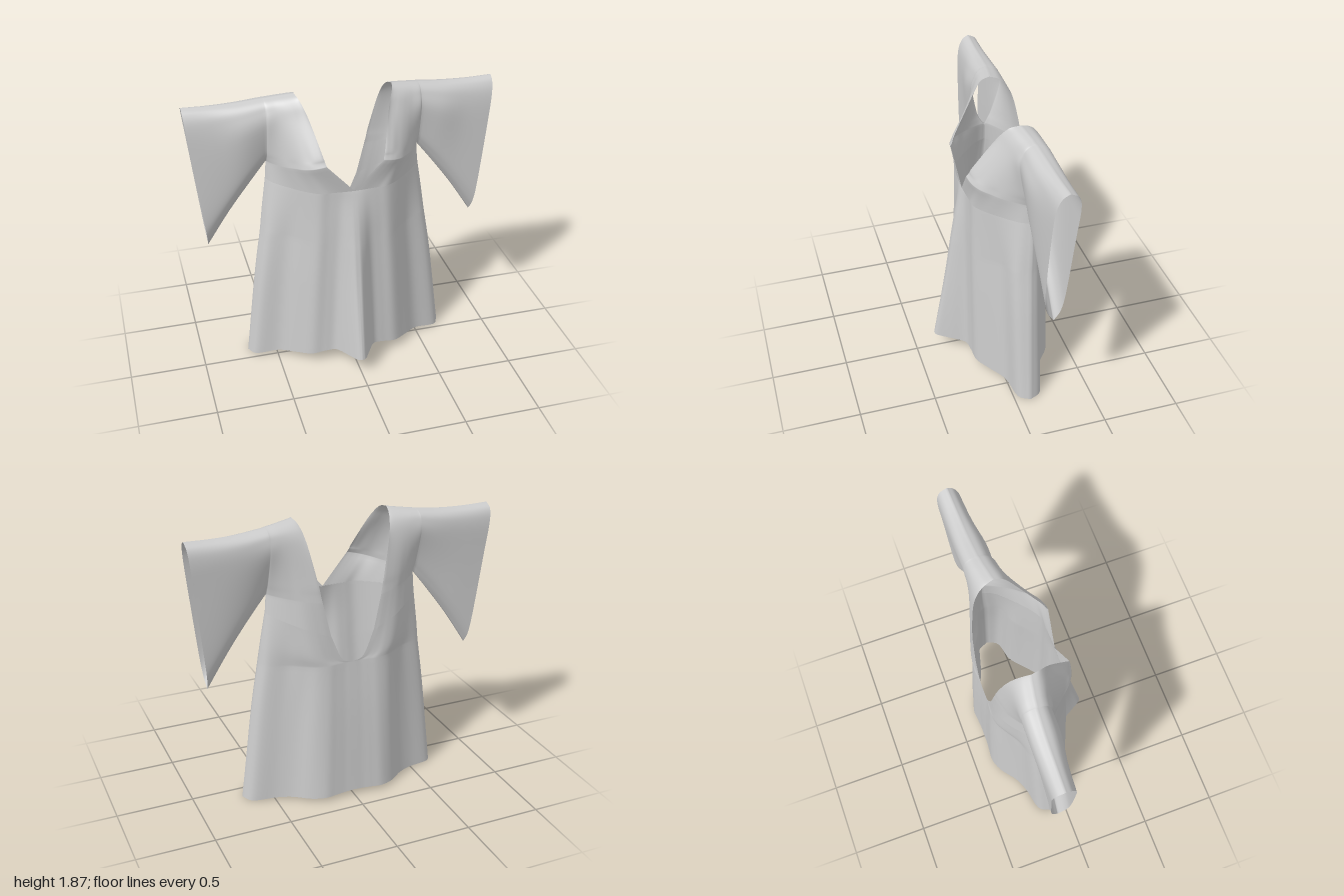
import * as THREE from 'three';
import { mergeVertices } from 'three/addons/utils/BufferGeometryUtils.js';

const V = (x, y, z) => new THREE.Vector3(x, y, z);
const lerp = THREE.MathUtils.lerp;
const spline = (pts, t) => new THREE.CatmullRomCurve3(pts, false, 'catmullrom', 0.5).getPoint(t);

// Where the cloth columns sit between the centre (0) and the side (1)
const COLS = [0, 0.04, 0.1, 0.19, 0.3, 0.43, 0.57, 0.72, 0.93, 1];

// Outer edge of the body: side seam from hem to armpit, then armhole to shoulder
const ARMPIT = 5;
const OUTER = [[0.69, 0], [0.615, 0.6], [0.56, 0.95], [0.54, 1.1], [0.51, 1.3], [0.5, 1.42],
  [0.5, 1.455], [0.5, 1.52], [0.5, 1.7], [0.5, 1.79], [0.5, 1.83], [0.5, 1.845]];

// Each row: inner x, inner y, then depths from the inner edge to the outer edge
const FRONT = [
  [0, 0.12, [0.375, 0.36, 0.29, 0.19, 0.168, 0.155, 0.085, 0.01, -0.025, -0.1]],
  [0, 0.6, [0.285, 0.28, 0.24, 0.18, 0.165, 0.155, 0.09, 0.015, -0.025, -0.11]],
  [0, 0.9, [0.24, 0.237, 0.215, 0.175, 0.162, 0.153, 0.095, 0.02, -0.03, -0.12]],
  [0, 1.1, [0.205, 0.203, 0.192, 0.17, 0.16, 0.15, 0.1, 0.03, -0.045, -0.13]],
  [0, 1.29, [0.16, 0.16, 0.16, 0.158, 0.155, 0.15, 0.11, 0.045, -0.065, -0.14]],
  [0.18, 1.49, [0.18, 0.18, 0.177, 0.17, 0.155, 0.125, 0.075, 0.02, -0.085, -0.14]],
  [0.188, 1.515, [0.165, 0.165, 0.162, 0.155, 0.14, 0.11, 0.065, 0.015, -0.075, -0.112]],
  [0.2, 1.56, [0.145, 0.145, 0.14, 0.13, 0.11, 0.085, 0.05, 0.005, -0.06, -0.085]],
  [0.25, 1.74, [0.035, 0.005, -0.055]],
  [0.28, 1.82, [-0.02, -0.04, -0.075]],
  [0.3, 1.858, [-0.06, -0.08, -0.105]],
  [0.312, 1.87, [-0.115, -0.13, -0.15]],
];
const BACK = [
  [0, 0.035, [-0.365, -0.365, -0.365, -0.37, -0.372, -0.335, -0.26, -0.215, -0.18, -0.1]],
  [0, 0.58, [-0.348, -0.348, -0.348, -0.352, -0.355, -0.33, -0.265, -0.22, -0.18, -0.11]],
  [0, 0.955, [-0.325, -0.325, -0.325, -0.33, -0.335, -0.32, -0.275, -0.225, -0.185, -0.12]],
  [0.075, 0.99, [-0.325, -0.325, -0.325, -0.327, -0.328, -0.315, -0.28, -0.235, -0.185, -0.13]],
  [0.145, 1.15, [-0.32, -0.32, -0.32, -0.317, -0.312, -0.3, -0.275, -0.24, -0.18, -0.14]],
  [0.195, 1.37, [-0.31, -0.31, -0.308, -0.303, -0.295, -0.28, -0.255, -0.225, -0.17, -0.14]],
  [0.205, 1.42, [-0.305, -0.305, -0.303, -0.298, -0.29, -0.277, -0.255, -0.228, -0.18, -0.155]],
  [0.22, 1.5, [-0.298, -0.298, -0.295, -0.29, -0.283, -0.272, -0.255, -0.235, -0.2, -0.185]],
  [0.263, 1.7, [-0.265, -0.255, -0.24]],
  [0.285, 1.8, [-0.225, -0.23, -0.235]],
  [0.3, 1.85, [-0.175, -0.19, -0.205]],
  [0.312, 1.87, [-0.115, -0.13, -0.15]],
];

// Sleeve stations from armhole to cuff: underside, top, then front and back depths
const SLEEVE = [
  [[0.5, 1.42], [0.5, 1.845],
    [-0.14, -0.112, -0.085, -0.055, -0.075, -0.105, -0.15], [-0.14, -0.155, -0.185, -0.24, -0.235, -0.205, -0.15]],
  [[0.61, 1.28], [0.66, 1.83],
    [-0.14, -0.105, -0.075, -0.05, -0.075, -0.11, -0.16], [-0.14, -0.17, -0.2, -0.24, -0.242, -0.215, -0.16]],
  [[0.75, 1.09], [0.83, 1.825],
    [-0.145, -0.1, -0.078, -0.072, -0.088, -0.12, -0.165], [-0.145, -0.185, -0.21, -0.237, -0.243, -0.22, -0.165]],
  [[0.9, 0.86], [1, 1.83],
    [-0.15, -0.102, -0.082, -0.085, -0.095, -0.125, -0.17], [-0.15, -0.19, -0.21, -0.232, -0.243, -0.225, -0.17]],
];

// Linear lookup in a short list, f from 0 to 1
function sample(list, f) {
  const k = f * (list.length - 1);
  const i = Math.min(Math.floor(k), list.length - 2);
  return lerp(list[i], list[i + 1], k - i);
}

// Control points of one half of the body cloth
function bodyRows(rows) {
  return rows.map(([ix, iy, depths], r) => COLS.map((q, i) =>
    V(lerp(ix, OUTER[r][0], q), lerp(iy, OUTER[r][1], q), sample(depths, i / (COLS.length - 1)))));
}

// Control points of one side of a sleeve, on the same rows as the armhole
function sleeveRows(side) {
  return OUTER.slice(ARMPIT).map(([, y], r) => SLEEVE.map((s) => {
    const f = (y - 1.42) / 0.425;
    return V(lerp(s[0][0], s[1][0], f), lerp(s[0][1], s[1][1], f), s[2 + side][r]);
  }));
}

// Smooth sheet through control rows, added to shared position and index lists
function addSheet(out, rows, nu, nv, mirror, back) {
  const base = out.pos.length / 3;
  for (let i = 0; i <= nu; i++) {
    const column = rows.map((row) => spline(row, i / nu));
    for (let j = 0; j <= nv; j++) {
      const p = spline(column, j / nv);
      out.pos.push(mirror * Math.max(0, p.x), p.y, p.z);
    }
  }
  const flip = (mirror < 0) !== back;
  for (let i = 0; i < nu; i++) {
    for (let j = 0; j < nv; j++) {
      const a = base + i * (nv + 1) + j, b = a + nv + 1;
      if (flip) out.idx.push(a, a + 1, b, b, a + 1, b + 1);
      else out.idx.push(a, b, a + 1, b, b + 1, a + 1);
    }
  }
}

export function createModel() {
  const group = new THREE.Group();
  group.name = 'gown';
  const out = { pos: [], idx: [] };
  const parts = [];
  const part = (name, build) => {
    const start = out.idx.length;
    build();
    parts.push([name, start, out.idx.length]);
  };

  // Body panels, mirrored, in bands that break at the neckline corners and the armpit
  const bands = [[0, 2, 20], [2, 4, 16], [4, ARMPIT, 8], [ARMPIT, 11, 36]];
  [['frontPanel', FRONT, false], ['backPanel', BACK, true]].forEach(([name, table, back]) => {
    part(name, () => [1, -1].forEach((m) => {
      const rows = bodyRows(table);
      bands.forEach(([from, to, nv]) => addSheet(out, rows.slice(from, to + 1), 45, nv, m, back));
    }));
  });

  // Hanging sleeves
  [['leftSleeve', 1], ['rightSleeve', -1]].forEach(([name, m]) => {
    part(name, () => [0, 1].forEach((side) => addSheet(out, sleeveRows(side), 24, 36, m, side === 1)));
  });

  // Weld the seams so the shading runs smoothly from part to part
  let cloth = new THREE.BufferGeometry();
  cloth.setAttribute('position', new THREE.Float32BufferAttribute(out.pos, 3));
  cloth.setIndex(out.idx);
  cloth = mergeVertices(cloth, 1e-4);
  cloth.computeVertexNormals();

  const material = new THREE.MeshStandardMaterial({ color: 0xcccccc, side: THREE.DoubleSide });
  const index = Array.from(cloth.index.array);
  parts.forEach(([name, start, end]) => {
    const geometry = new THREE.BufferGeometry();
    geometry.setAttribute('position', cloth.attributes.position);
    geometry.setAttribute('normal', cloth.attributes.normal);
    geometry.setIndex(index.slice(start, end));
    const mesh = new THREE.Mesh(geometry, material);
    mesh.name = name;
    group.add(mesh);
  });
  return group;
}
